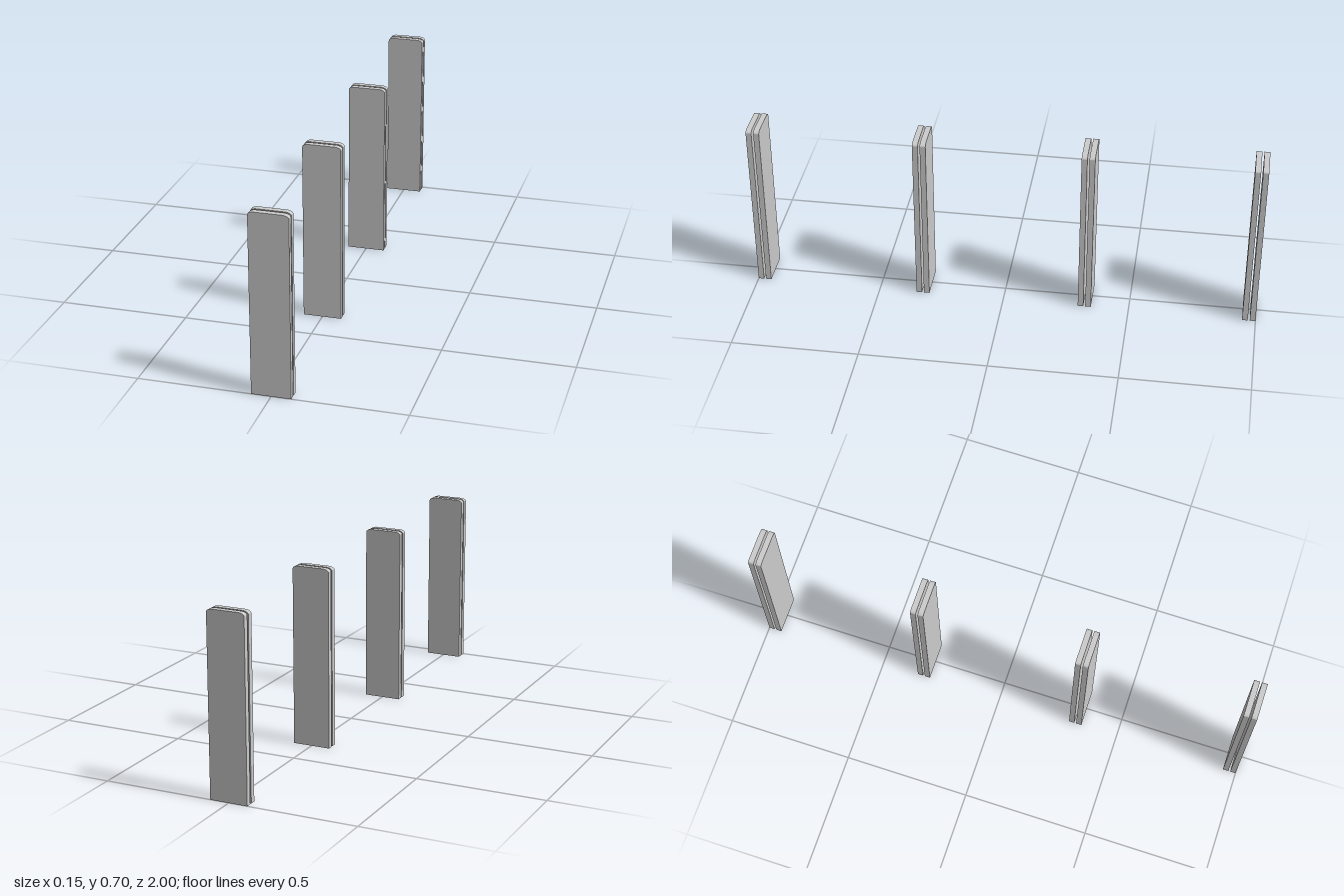
import * as THREE from 'three';

const HALF_W = 0.074, HEIGHT = 0.7, THICK = 0.022, GAP = 0.008;
const PAIR_DEPTH = 2 * THICK + GAP;

// Upright slab outline: square foot, softly rounded top corners
function slabGeometry() {
  const rx = 0.024, ry = 0.012;
  const s = new THREE.Shape();
  s.moveTo(-HALF_W, 0);
  s.lineTo(HALF_W, 0);
  s.lineTo(HALF_W, HEIGHT - ry);
  s.absellipse(HALF_W - rx, HEIGHT - ry, rx, ry, 0, Math.PI / 2, false);
  s.lineTo(-HALF_W + rx, HEIGHT);
  s.absellipse(-HALF_W + rx, HEIGHT - ry, rx, ry, Math.PI / 2, Math.PI, false);
  s.lineTo(-HALF_W, 0);
  const g = new THREE.ExtrudeGeometry(s, { depth: THICK, bevelEnabled: false, curveSegments: 8 });
  g.translate(0, 0, -THICK / 2);
  return g;
}

export function createModel() {
  const model = new THREE.Group();
  model.name = 'slatPosts';
  const material = new THREE.MeshStandardMaterial({ color: 0xcccccc });
  const geometry = slabGeometry();

  // Four evenly spaced posts, each a pair of slabs with a narrow open gap
  const first = 1 - PAIR_DEPTH / 2;
  for (let i = 0; i < 4; i++) {
    const post = new THREE.Group();
    post.name = `post${i + 1}`;
    post.position.z = first - (i * 2 * first) / 3;
    for (const side of [1, -1]) {
      const slab = new THREE.Mesh(geometry, material);
      slab.name = side > 0 ? 'frontSlab' : 'backSlab';
      slab.position.z = side * (GAP + THICK) / 2;
      post.add(slab);
    }
    model.add(post);
  }
  return model;
}
